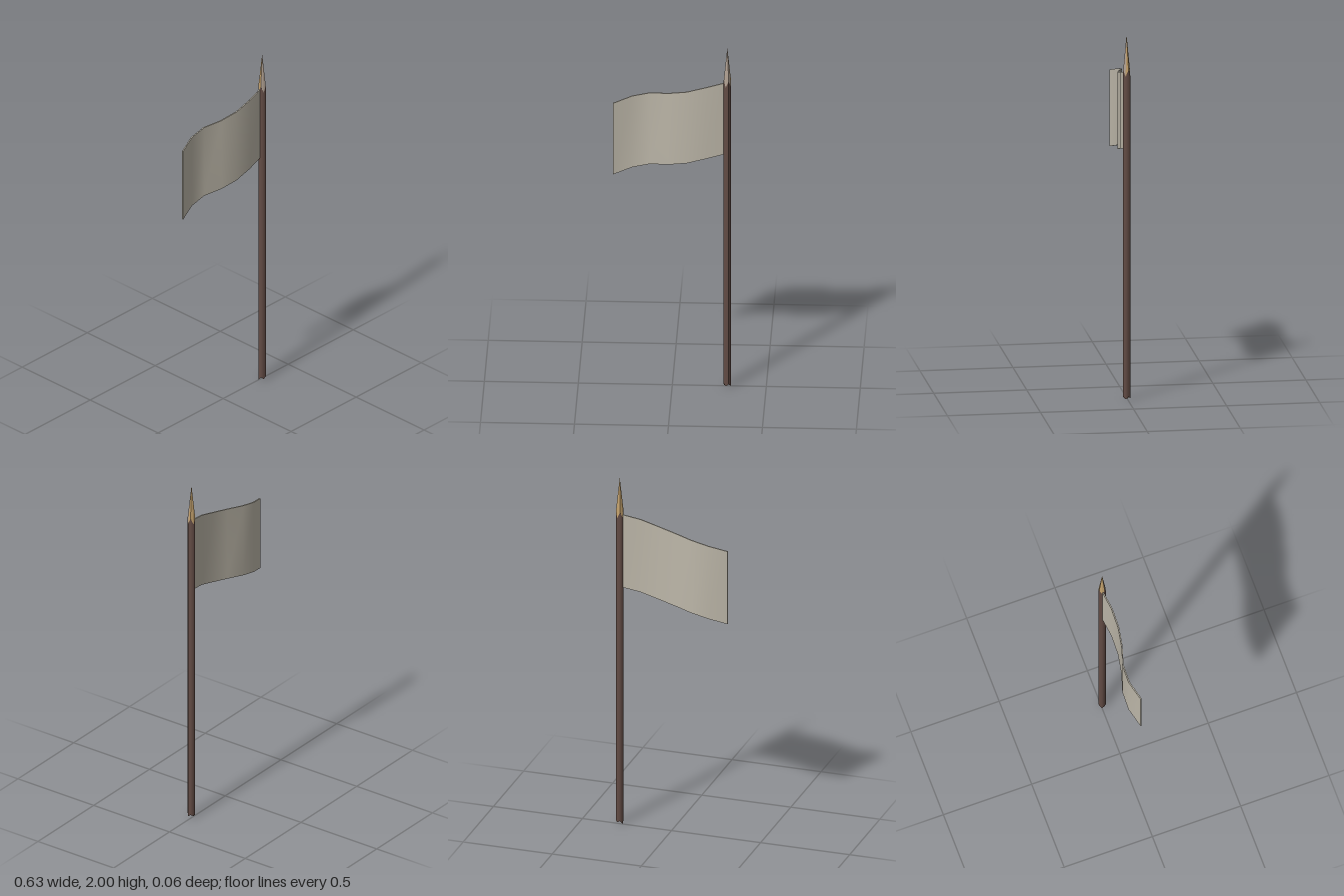
import * as THREE from 'three';

const mat = (name, color, side = THREE.FrontSide) => {
  const m = new THREE.MeshStandardMaterial({ color, side });
  m.name = name;
  return m;
};

const SIDES = 8, RADIUS = 0.0205, START = Math.PI / SIDES;

// Move each vertex by a rule
function reshape(geometry, rule) {
  const p = geometry.attributes.position, v = new THREE.Vector3();
  for (let i = 0; i < p.count; i++) {
    rule(v.fromBufferAttribute(p, i));
    p.setXYZ(i, v.x, v.y, v.z);
  }
  geometry.computeVertexNormals();
  return geometry;
}

// Uneven cut edges shared by the pole and its ends
const corner = v => {
  const k = Math.round((Math.atan2(v.x, v.z) - START) / (2 * START));
  return (k + SIDES) % SIDES;
};
const topRim = v => (corner(v) % 2 ? 1.775 : 1.81);
const bottomRim = v => [0.02, 0.008, 0.02, 0.012, 0.02, 0, 0.02, 0.01][corner(v)];

export function createModel() {
  const bark = mat('dark wood', 0x634c45);
  const paleWood = mat('cut wood', 0xc2a06c, THREE.DoubleSide);
  const greyWood = mat('weathered cut wood', 0xb0a092, THREE.DoubleSide);
  const cloth = mat('cloth', 0xbdb7a9);

  const model = new THREE.Group();
  model.name = 'flag';
  const staff = new THREE.Group();
  staff.name = 'staff';
  staff.position.set(0.293, 0, 0.007);
  model.add(staff);

  const add = (parent, name, geometry, material) => {
    const mesh = new THREE.Mesh(geometry, material);
    mesh.name = name;
    parent.add(mesh);
  };

  // Straight pole with roughly cut rims
  const pole = new THREE.CylinderGeometry(RADIUS, RADIUS, 2, SIDES, 1, true, START);
  add(staff, 'pole', reshape(pole, v => { v.y = v.y > 0 ? topRim(v) : bottomRim(v); }), bark);

  // Whittled point, weathered on its front facets
  const point = new THREE.ConeGeometry(RADIUS, 2, SIDES, 1, true, START).toNonIndexed();
  point.clearGroups();
  for (let i = 0; i < SIDES; i++) {
    point.addGroup(i * 3, 3, i === 0 || i >= SIDES - 2 ? 1 : 0);
  }
  reshape(point, v => { v.y = v.y > 0 ? 2 : topRim(v); });
  add(staff, 'point', point, [paleWood, greyWood]);

  // Splintered lower end
  const end = new THREE.CircleGeometry(RADIUS, SIDES, START).rotateX(Math.PI / 2);
  reshape(end, v => { v.y = Math.hypot(v.x, v.z) < 0.001 ? 0.025 : bottomRim(v); });
  add(staff, 'lowerEnd', end, paleWood);

  // Waving cloth: x, top height and z at each fold
  const folds = [
    [-0.315, 1.66, 0.004], [-0.215, 1.69, -0.027], [-0.12, 1.711, -0.027],
    [-0.02, 1.724, 0.004], [0.078, 1.742, 0.021], [0.18, 1.77, 0.021], [0.285, 1.793, 0.004],
  ];
  const sheet = new THREE.BoxGeometry(6, 0.42, 0.007, 6, 1, 1);
  reshape(sheet, v => {
    const [x, top, z] = folds[Math.round(v.x + 3)];
    v.set(x, top - 0.21 + v.y, z + v.z);
  });
  add(model, 'cloth', sheet, cloth);

  return model;
}
